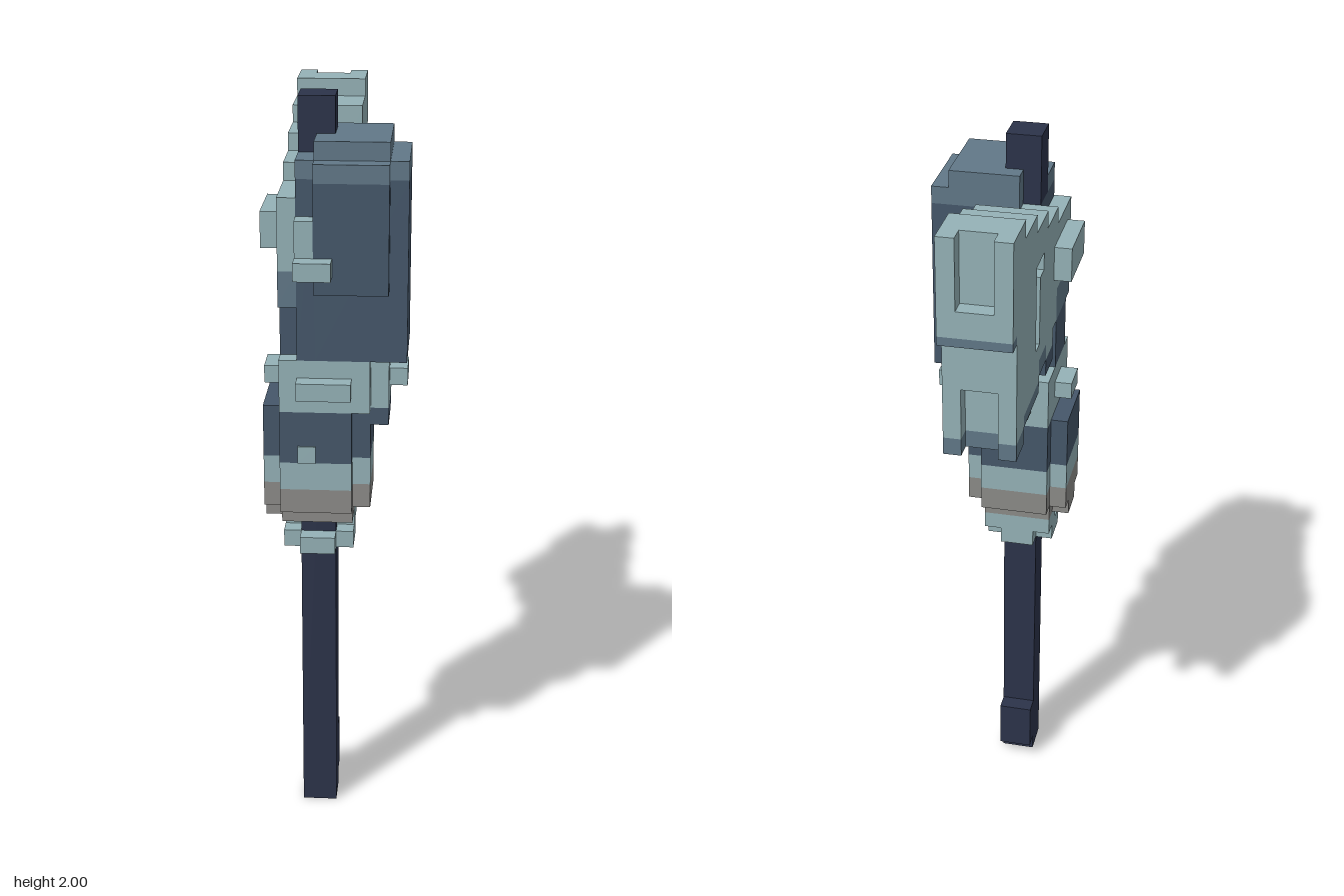
import * as THREE from 'three';

// Everything sits on a block grid, 43 blocks tall
const U = 2 / 43;

const material = (name, color) => {
  const m = new THREE.MeshStandardMaterial({ color });
  m.name = name;
  return m;
};

export function createModel() {
  const navy = material('navy', 0x2c334a);
  const slate = material('darkSlate', 0x45576a);
  const mid = material('midSlate', 0x617888);
  const pale = material('paleTeal', 0x95b2b7);
  const grey = material('warmGrey', 0x8c8b88);

  const root = new THREE.Group();
  root.name = 'axe';

  // Each block is [x0, x1, y0, y1, z0, z1] in grid units
  const part = (name, mat, blocks) => {
    const group = new THREE.Group();
    group.name = name;
    for (const [x0, x1, y0, y1, z0, z1] of blocks) {
      const geo = new THREE.BoxGeometry((x1 - x0) * U, (y1 - y0) * U, (z1 - z0) * U);
      const mesh = new THREE.Mesh(geo, mat);
      mesh.name = name + 'Block';
      mesh.position.set(((x0 + x1) / 2 - 4) * U, ((y0 + y1) / 2) * U, ((z0 + z1) / 2 - 9) * U);
      group.add(mesh);
    }
    root.add(group);
  };

  // Two crossed boxes giving a stepped octagon around the handle
  const octagon = (y0, y1) => [
    [0, 6, y0, y1, 11, 15],
    [1, 5, y0, y1, 10, 16],
  ];

  // Handle with a peg near its foot
  part('handle', navy, [[2, 4, 0, 43, 12, 14]]);
  part('handlePeg', navy, [[2, 4, 1, 4, 11, 12]]);

  // Small cross guard below the socket
  part('lowerGuard', pale, [
    [1, 5, 17, 18, 12, 14],
    [2, 4, 17, 18, 11, 15],
    [1, 2, 18, 19, 11, 13],
    [4, 5, 18, 19, 11, 13],
    [2, 4, 18, 19, 11, 12],
  ]);

  // Banded socket
  part('socketBase', grey, [
    [1, 5, 19, 20, 11, 15],
    [0, 1, 19, 20, 12, 14],
    ...octagon(20, 21.4),
  ]);
  part('socketPaleBand', pale, octagon(21.4, 23));
  part('socketDarkBand', slate, [...octagon(23, 26), [6, 7, 25, 26, 12, 15]]);
  part('socketPaleNotch', pale, [[2, 3, 23, 24, 15.9, 16.1]]);

  // Collar with projecting arms
  part('collar', pale, [
    [1, 6, 26, 29, 10, 16],
    [6, 7, 26, 29, 11, 15],
    [0, 8, 27, 28, 12, 14],
    [2, 5, 27, 28, 9, 17],
    [5, 6, 27, 28, 9, 10],
  ]);

  // Dark hammer body and its lighter cap
  part('hammerBody', slate, [
    [3, 8, 29, 39, 11, 16],
    [2, 3, 29, 39, 12, 16],
    [3, 7, 33, 39, 16, 17],
    [3, 7, 30, 38, 10, 11],
    [1, 2, 29, 32, 12, 15],
  ]);
  part('hammerCap', mid, [
    [3, 7, 40, 41, 11, 16],
    [3, 8, 39, 40, 11, 16],
    [2, 3, 39, 40, 14, 16],
    [3, 7, 39, 40, 16, 17],
  ]);

  // Pale clasp on the right side and front
  part('clasp', pale, [
    [1, 2, 34, 38, 12, 16],
    [0, 1, 35, 37, 11, 15],
    [2, 4, 34, 35, 16, 18],
    [2, 3, 35, 37, 16, 17],
  ]);
  part('claspShadowBlock', mid, [[1, 2, 32, 34, 12, 16]]);

  // Stepped blade, with a groove on the right side
  part('blade', pale, [
    [1, 5, 33, 42, 1, 3],
    [1, 2, 36.5, 42, 0, 1],
    [4, 5, 36.5, 42, 0, 1],
    [2, 4, 36.5, 38, 0, 1],
    [1, 2, 30, 33, 1, 3],
    [4, 5, 30, 33, 1, 3],
    [2, 4, 30, 33, 2, 3],
    [1, 5, 30.7, 41, 3, 6],
    [2, 5, 30.7, 40, 6, 7],
    [1, 2, 30.7, 33, 6, 7],
    [1, 2, 38, 40, 6, 7],
    [2, 5, 32, 40, 7, 9],
    [1, 2, 32, 37, 7, 9],
    [1, 2, 38, 40, 7, 9],
    [1, 2, 37, 38, 8, 9],
    [1, 5, 31, 39, 9, 11],
    [1, 3, 32, 39, 11, 12],
  ]);

  // Darker lower edges of the blade
  part('bladeLowerEdge', mid, [
    [1, 2, 29, 30, 1, 3],
    [4, 5, 29, 30, 1, 3],
    [2, 4, 29, 30, 2, 3],
    [1, 5, 30, 30.7, 3, 7],
    [1, 5, 31, 32, 7, 9],
    [1, 5, 36, 36.5, 0, 1],
  ]);
  part('bladeRoot', slate, [[1, 5, 30, 31, 9, 11]]);

  return root;
}
